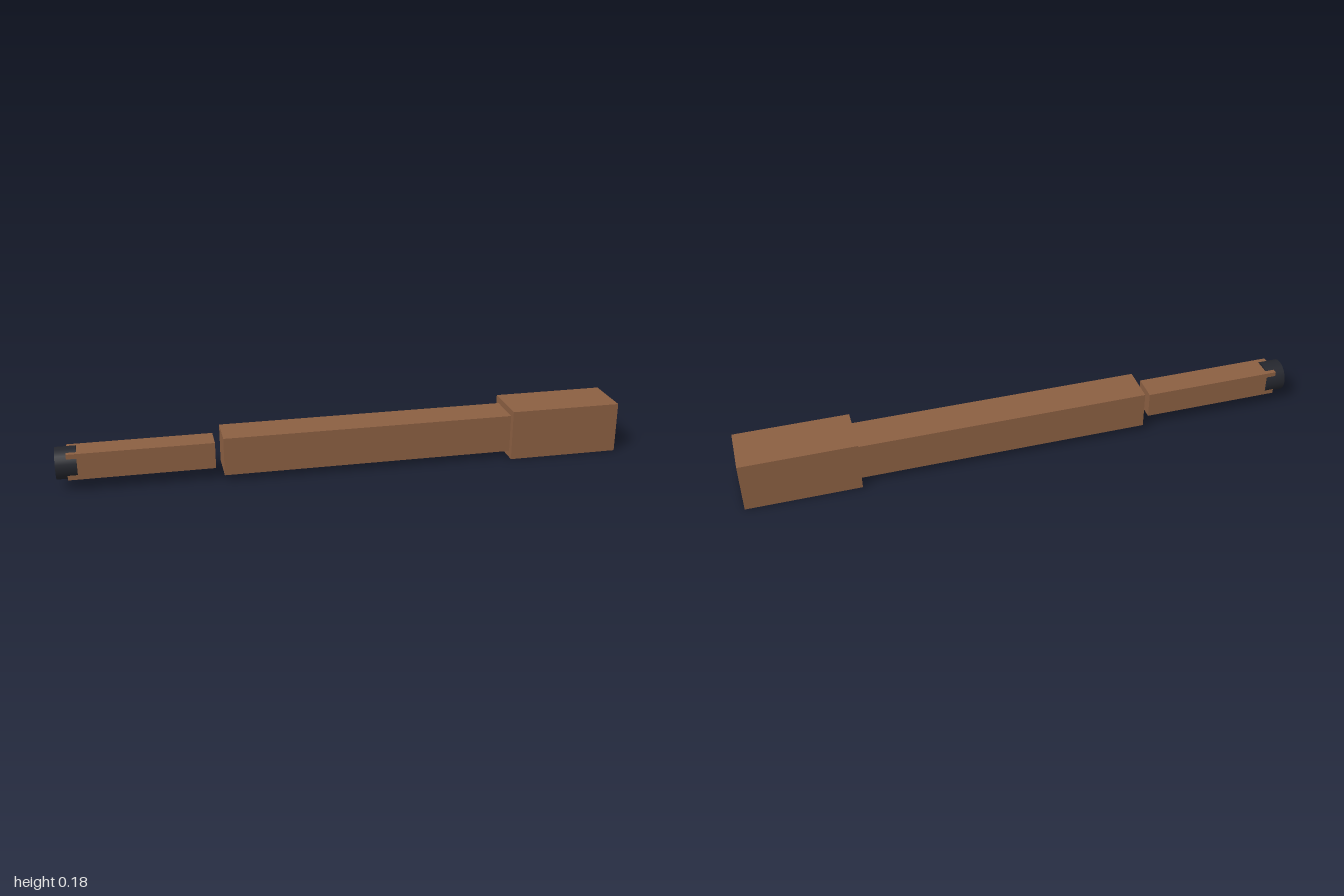
import * as THREE from 'three';

const AXIS_Y = 0.091;

export function createModel() {
  const group = new THREE.Group();
  const wood = new THREE.MeshStandardMaterial({ color: 0x8b5f42 });
  wood.name = 'brown wood';
  const dark = new THREE.MeshStandardMaterial({ color: 0x24262d });
  dark.name = 'dark metal';

  const add = (name, geometry, material, x0, x1) => {
    const mesh = new THREE.Mesh(geometry, material);
    mesh.name = name;
    mesh.position.set((x0 + x1) / 2, AXIS_Y, 0);
    group.add(mesh);
  };

  // Square wooden sections along the shaft: name, start, end, thickness
  const sections = [
    ['buttBlock', 0.6, 1, 0.182],
    ['mainShaft', -0.435, 0.6, 0.136],
    ['tipShaft', -0.962, -0.462, 0.094],
  ];
  for (const [name, x0, x1, size] of sections) {
    add(name, new THREE.BoxGeometry(x1 - x0, size, size), wood, x0, x1);
  }

  // Round cap, narrower than the tip's diagonal so the corners show through
  const cap = new THREE.CylinderGeometry(0.056, 0.056, 0.072, 24).rotateZ(Math.PI / 2);
  add('endCap', cap, dark, -1, -0.928);

  return group;
}
